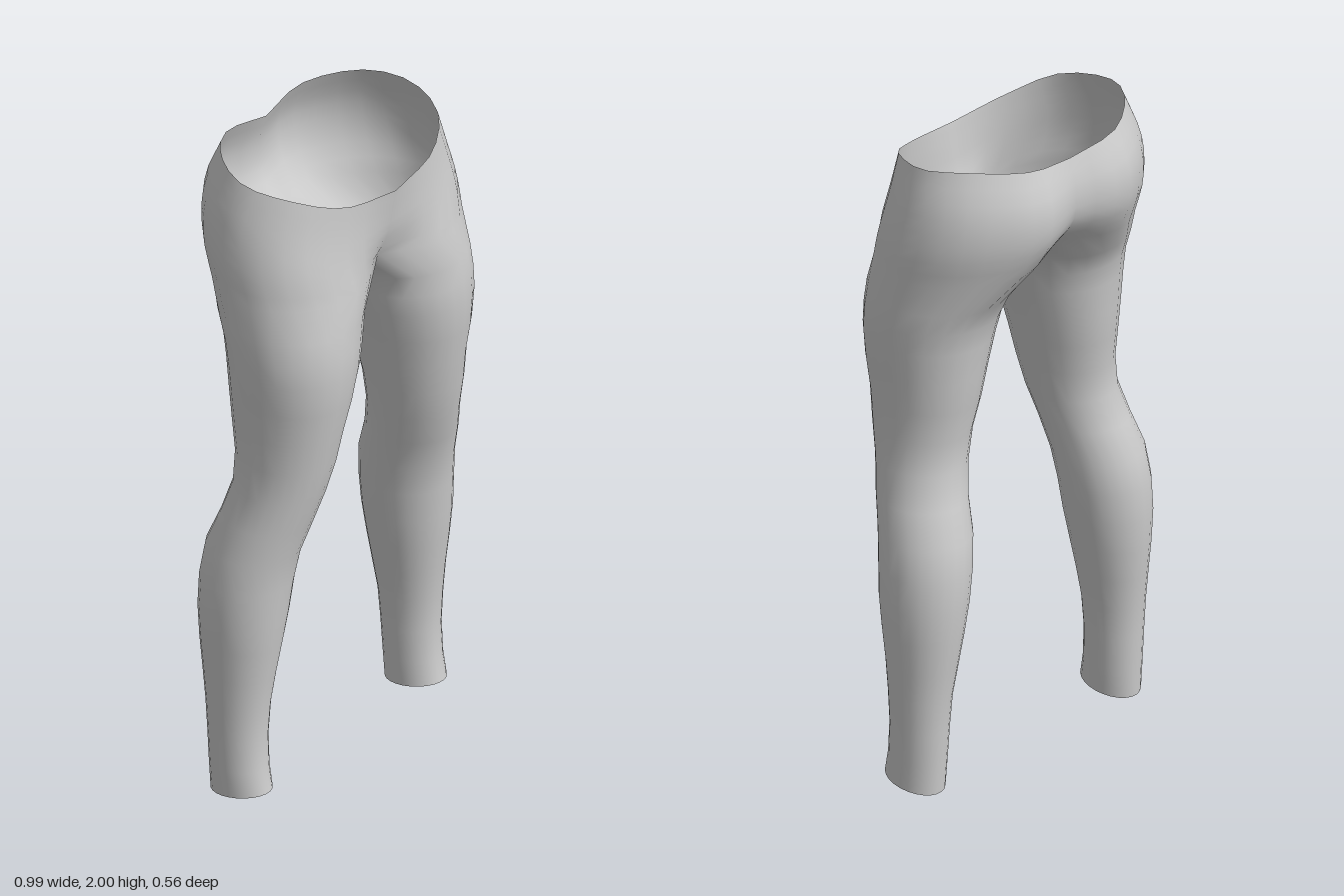
import * as THREE from 'three';
import { mergeVertices } from 'three/addons/utils/BufferGeometryUtils.js';

const OUTER = 17; // segments from front centre round the outside to back centre
const INNER = 7;  // segments along the crotch seam
const COUNT = OUTER + INNER;

// Hip half-outlines (x, y, z) from front centre to back centre, waist to crotch
const HIPS = [
  [[0, 1.89, .25], [.2, 1.915, .222], [.32, 1.96, .145], [.372, 1.985, 0], [.32, 2, -.12], [.17, 1.985, -.228], [0, 1.96, -.22]],
  [[0, 1.82, .238], [.2, 1.835, .23], [.355, 1.85, .15], [.41, 1.87, 0], [.355, 1.88, -.15], [.17, 1.87, -.275], [0, 1.86, -.245]],
  [[0, 1.74, .222], [.2, 1.74, .243], [.375, 1.74, .17], [.433, 1.74, .02], [.37, 1.76, -.15], [.17, 1.76, -.272], [0, 1.76, -.235]],
  [[0, 1.655, .185], [.2, 1.64, .262], [.385, 1.64, .18], [.438, 1.64, .04], [.37, 1.64, -.12], [.19, 1.65, -.222], [0, 1.67, -.165]],
];

// Leg sections: height, inner x, outer x, back z, front z
const LEGS = [
  [1.54, .034, .442, -.15, .273], [1.47, .056, .443, -.122, .278], [1.4, .075, .44, -.11, .28],
  [1.3, .105, .43, -.1, .27], [1.2, .13, .421, -.088, .25], [1.1, .155, .419, -.07, .235],
  [1, .175, .427, -.067, .21], [.9, .2, .452, -.092, .183], [.8, .215, .478, -.128, .152],
  [.7, .23, .49, -.14, .137], [.6, .245, .494, -.14, .128], [.5, .265, .488, -.132, .115],
  [.4, .285, .48, -.12, .1], [.3, .303, .475, -.107, .088], [.2, .311, .471, -.1, .082],
  [.1, .316, .469, -.095, .088], [.016, .32, .467, -.09, .103],
];

const curve = (points) => new THREE.CatmullRomCurve3(points);

function hipRings(steps) {
  // Smooth each control column from waist to crotch, then sample outlines across
  const columns = HIPS[0].map((_, k) => curve(HIPS.map((level) => new THREE.Vector3(...level[k]))));
  return Array.from({ length: steps + 1 }, (_, s) =>
    curve(columns.map((c) => c.getPoint(s / steps))).getSpacedPoints(OUTER));
}

function legRing([y, xIn, xOut, zBack, zFront]) {
  const tilt = y < .05 ? .014 : 0; // hem rises towards the front
  const cx = (xIn + xOut) / 2, cz = (zBack + zFront) / 2;
  return Array.from({ length: COUNT }, (_, i) => {
    const a = THREE.MathUtils.degToRad(52.5 + i * 360 / COUNT);
    return new THREE.Vector3(
      cx - Math.cos(a) * (xOut - xIn) / 2,
      y + tilt * Math.sin(a),
      cz + Math.sin(a) * (zFront - zBack) / 2);
  });
}

// Crotch seam from back centre to front centre, dipping between the legs
function crotchSeam(back, front) {
  return Array.from({ length: INNER - 1 }, (_, k) => {
    const t = (k + 1) / INNER;
    const p = back.clone().lerp(front, t);
    p.y -= .075 * Math.pow(Math.sin(Math.PI * t), .8);
    return p;
  });
}

// Skin between successive rings, for one side of the body
function addSkin(positions, rings, closed, side) {
  const n = rings[0].length;
  const push = (...pts) => {
    if (side < 0) pts.reverse();
    pts.forEach((p) => positions.push(side * p.x, p.y, p.z));
  };
  for (let r = 0; r < rings.length - 1; r++) {
    for (let i = 0; i < (closed ? n : n - 1); i++) {
      const j = (i + 1) % n;
      const a = rings[r][i], b = rings[r][j], c = rings[r + 1][i], d = rings[r + 1][j];
      push(a, c, b);
      push(b, c, d);
    }
  }
}

export function createModel() {
  const fabric = new THREE.MeshStandardMaterial({ color: 0xcccccc, side: THREE.DoubleSide });
  fabric.name = 'light grey fabric';

  const hips = hipRings(8);
  const last = hips[hips.length - 1];
  const legTop = [...last, ...crotchSeam(last[OUTER], last[0])];
  const legs = [legTop, ...LEGS.map(legRing)];

  // Both halves are welded into one continuous smooth garment
  const positions = [];
  for (const side of [1, -1]) {
    addSkin(positions, hips, false, side);
    addSkin(positions, legs, true, side);
  }
  let geometry = new THREE.BufferGeometry();
  geometry.setAttribute('position', new THREE.Float32BufferAttribute(positions, 3));
  geometry = mergeVertices(geometry, 1e-4);
  geometry.computeVertexNormals();

  const leggings = new THREE.Mesh(geometry, fabric);
  leggings.name = 'leggings';
  const group = new THREE.Group();
  group.name = 'leggingsModel';
  group.add(leggings);
  return group;
}
